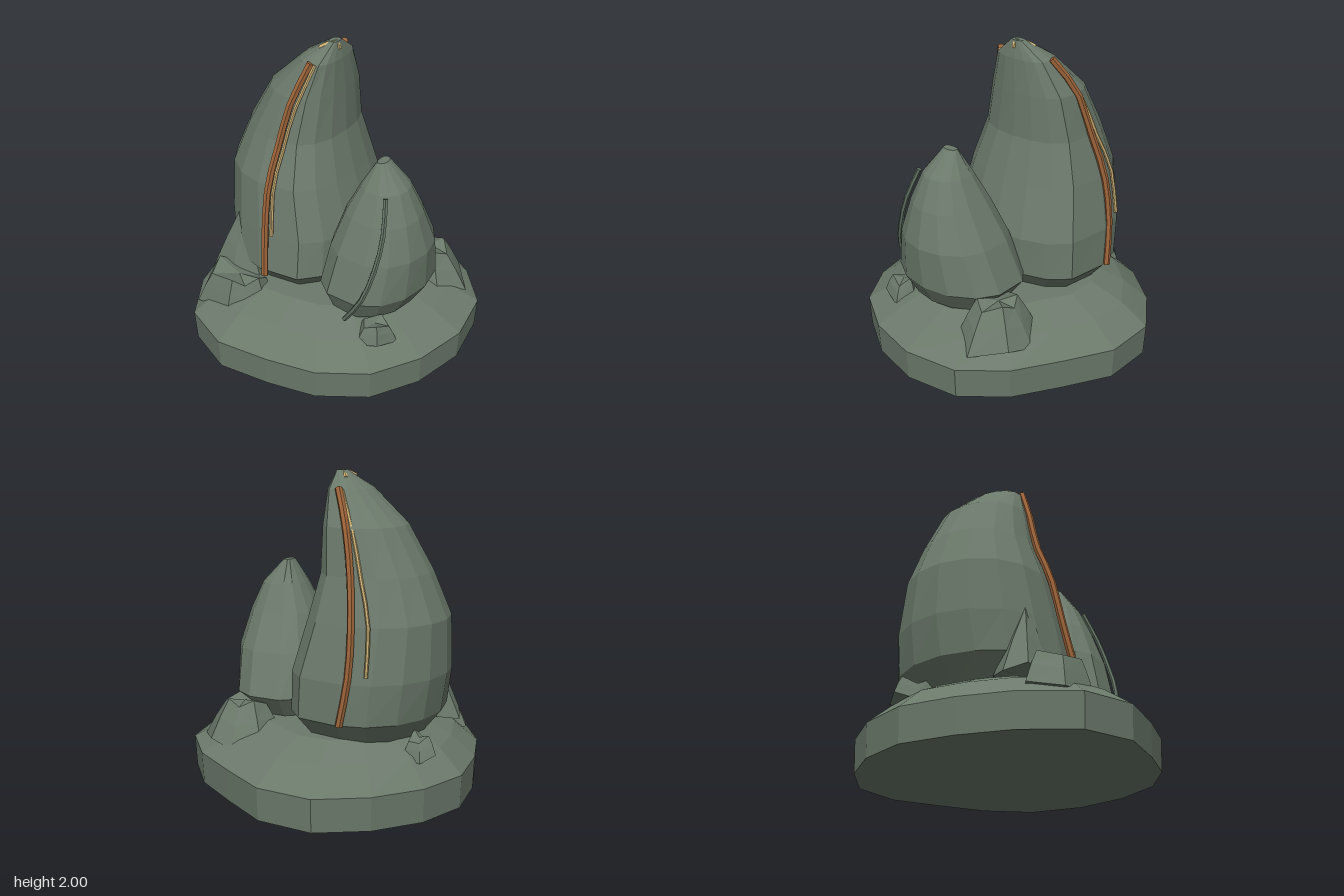
import * as THREE from 'three';

const mat = (name, color, flat = true) => {
  const m = new THREE.MeshStandardMaterial({ color, flatShading: flat });
  m.name = name;
  return m;
};

// Skin a stack of rings (bottom to top, each an array of [x, y, z]) and close both ends.
function loft(rings) {
  const pos = [];
  const tri = (a, b, c) => pos.push(...a, ...b, ...c);
  const n = rings[0].length;
  const centre = r => [0, 1, 2].map(k => r.reduce((s, p) => s + p[k], 0) / n);
  const first = rings[0], last = rings[rings.length - 1];
  const c0 = centre(first), c1 = centre(last);
  for (let i = 0; i < n; i++) {
    const j = (i + 1) % n;
    for (let k = 0; k + 1 < rings.length; k++) {
      const lo = rings[k], hi = rings[k + 1];
      tri(lo[i], hi[i], lo[j]);
      tri(lo[j], hi[i], hi[j]);
    }
    tri(c0, first[i], first[j]);
    tri(c1, last[j], last[i]);
  }
  const g = new THREE.BufferGeometry();
  g.setAttribute('position', new THREE.Float32BufferAttribute(pos, 3));
  g.computeVertexNormals();
  return g;
}

// Ring fitted to x and z limits; the side given by 'flat' is squared off.
function ring([y, x0, x1, z0, z1], n, flat) {
  return Array.from({ length: n }, (_, i) => {
    const a = (i / n) * Math.PI * 2;
    let c = Math.cos(a);
    if (c * flat > 0) c = flat * Math.pow(Math.abs(c), 0.55);
    return [(x0 + x1) / 2 + c * (x1 - x0) / 2, y, (z0 + z1) / 2 + Math.sin(a) * (z1 - z0) / 2];
  });
}

export function createModel() {
  const group = new THREE.Group();
  const stone = mat('stone', 0x6b796b);
  const moss = mat('greyGreenVine', 0x617062);
  const copper = mat('copperVein', 0x9a6238);
  const gold = mat('goldVein', 0xc8ad72);
  const add = (name, geo, material) => {
    const m = new THREE.Mesh(geo, material);
    m.name = name;
    group.add(m);
    return m;
  };

  // Base: slightly tilted slab with a sloping shoulder
  const outline = [
    [-0.3, -0.93], [0.05, -0.93], [0.35, -0.77], [0.64, -0.6], [0.86, -0.35], [0.92, 0],
    [0.84, 0.34], [0.66, 0.63], [0.37, 0.81], [0.05, 0.88], [-0.3, 0.92], [-0.62, 0.79],
    [-0.81, 0.49], [-0.9, 0.17], [-0.93, -0.17], [-0.81, -0.48], [-0.59, -0.74],
  ];
  const baseRings = [[0.025, 0.99, 0.027], [0.23, 1, 0.022], [0.35, 0.81, 0], [0.44, 0.58, 0]];
  add('base', loft(baseRings.map(([y, s, tilt]) =>
    outline.map(([x, z]) => [x * s - (1 - s) * 0.12, y + x * tilt, z * s]))), stone);

  // Spires: sections of y, x limits, z limits
  const tall = [
    [0.4, -0.62, 0.06, -0.46, 0.38], [0.55, -0.74, 0.17, -0.58, 0.5], [0.8, -0.78, 0.17, -0.57, 0.46],
    [1.13, -0.77, 0.075, -0.5, 0.4], [1.4, -0.66, 0, -0.42, 0.3], [1.68, -0.5, -0.01, -0.36, 0.225],
    [1.89, -0.27, -0.02, -0.24, 0.14], [1.998, -0.1, -0.04, -0.08, 0.0],
  ];
  add('tallSpire', loft(tall.map(s => ring(s, 16, 1))), stone);
  const short = [
    [0.42, 0.1, 0.6, -0.24, 0.42], [0.57, 0.05, 0.69, -0.35, 0.49], [0.84, 0.1, 0.7, -0.25, 0.425],
    [1.07, 0.18, 0.64, -0.13, 0.34], [1.25, 0.27, 0.56, -0.04, 0.26], [1.4, 0.355, 0.415, 0.055, 0.155],
  ];
  add('shortSpire', loft(short.map(s => ring(s, 14, -1))), stone);

  // Rocks: a footprint lifted and shrunk towards a top point
  function rock(name, foot, y0, y1, top, shrink) {
    const at = (y, s) => foot.map(([x, z], i) =>
      [top[0] + (x - top[0]) * s, y + (i % 2 ? 0.02 : -0.02), top[1] + (z - top[1]) * s]);
    add(name, loft([at(y0, 1), at(y0 + (y1 - y0) * 0.5, 0.5 + shrink / 2), at(y1 - 0.02, shrink)]), stone);
  }
  rock('peakedRock', [[-0.3, 0.28], [-0.28, 0.5], [-0.5, 0.54], [-0.68, 0.49], [-0.73, 0.36], [-0.6, 0.22]],
    0.4, 0.84, [-0.5, 0.37], 0.14);
  rock('frontRock', [[-0.2, 0.45], [-0.2, 0.56], [-0.28, 0.67], [-0.38, 0.73], [-0.66, 0.7], [-0.73, 0.5], [-0.55, 0.38]],
    0.27, 0.51, [-0.38, 0.52], 0.68);
  rock('backRock', [[0.2, -0.3], [0.27, -0.5], [0.43, -0.59], [0.6, -0.55], [0.76, -0.36], [0.65, -0.18], [0.4, -0.12]],
    0.31, 0.57, [0.46, -0.33], 0.5);
  rock('smallFrontRock', [[0.4, 0.4], [0.55, 0.3], [0.67, 0.35], [0.62, 0.5], [0.48, 0.52]],
    0.33, 0.46, [0.54, 0.4], 0.6);
  rock('smallSideRock', [[-0.62, -0.36], [-0.6, -0.15], [-0.72, -0.18], [-0.81, -0.3], [-0.74, -0.38]],
    0.34, 0.47, [-0.68, -0.27], 0.6);

  // Veins running down the spires
  function vein(name, points, radius, material) {
    const path = new THREE.CurvePath();
    const v = points.map(p => new THREE.Vector3(...p));
    for (let i = 0; i + 1 < v.length; i++) path.add(new THREE.LineCurve3(v[i], v[i + 1]));
    const curve = new THREE.CatmullRomCurve3(v, false, 'centripetal');
    add(name, new THREE.TubeGeometry(curve, (v.length - 1) * 2, radius, 6), material);
    // End caps
    [[0, -1], [1, 1]].forEach(([t, s]) => {
      const cap = add(name + 'End', new THREE.CircleGeometry(radius, 6), material);
      cap.position.copy(curve.getPoint(t));
      cap.quaternion.setFromUnitVectors(new THREE.Vector3(0, 0, 1), curve.getTangent(t).multiplyScalar(s));
    });
  }
  vein('frontCopperVein', [[-0.12, 1.9, 0.14], [-0.2, 1.65, 0.24], [-0.24, 1.4, 0.31], [-0.255, 1.15, 0.41],
    [-0.245, 0.85, 0.475], [-0.215, 0.55, 0.535]], 0.023, copper);
  vein('frontGoldVein', [[-0.095, 1.89, 0.13], [-0.17, 1.6, 0.25], [-0.205, 1.37, 0.315],
    [-0.222, 1.15, 0.4], [-0.2, 0.82, 0.47]], 0.012, gold);
  vein('backCopperVein', [[-0.14, 1.9, -0.24], [-0.24, 1.7, -0.355], [-0.3, 1.45, -0.42], [-0.35, 1.15, -0.51],
    [-0.355, 0.85, -0.56], [-0.31, 0.55, -0.59]], 0.023, copper);
  vein('backGoldVein', [[-0.16, 1.89, -0.235], [-0.29, 1.65, -0.355], [-0.37, 1.4, -0.42],
    [-0.45, 1.15, -0.49], [-0.46, 0.85, -0.54]], 0.012, gold);
  vein('shortSpireVine', [[0.5, 1.25, 0.26], [0.54, 1.05, 0.34], [0.535, 0.85, 0.41], [0.485, 0.63, 0.48],
    [0.37, 0.44, 0.49]], 0.016, moss);

  // Gold fleck wrapped over the tip
  vein('tipFleck', [[-0.13, 1.95, -0.12], [-0.095, 1.975, -0.075], [-0.055, 1.982, -0.035],
    [-0.09, 1.978, -0.003], [-0.13, 1.953, 0.03]], 0.018, gold);
  vein('tipFleckDrop', [[-0.06, 1.985, -0.035], [-0.045, 1.975, -0.035], [-0.04, 1.95, -0.035]], 0.017, gold);

  return group;
}
